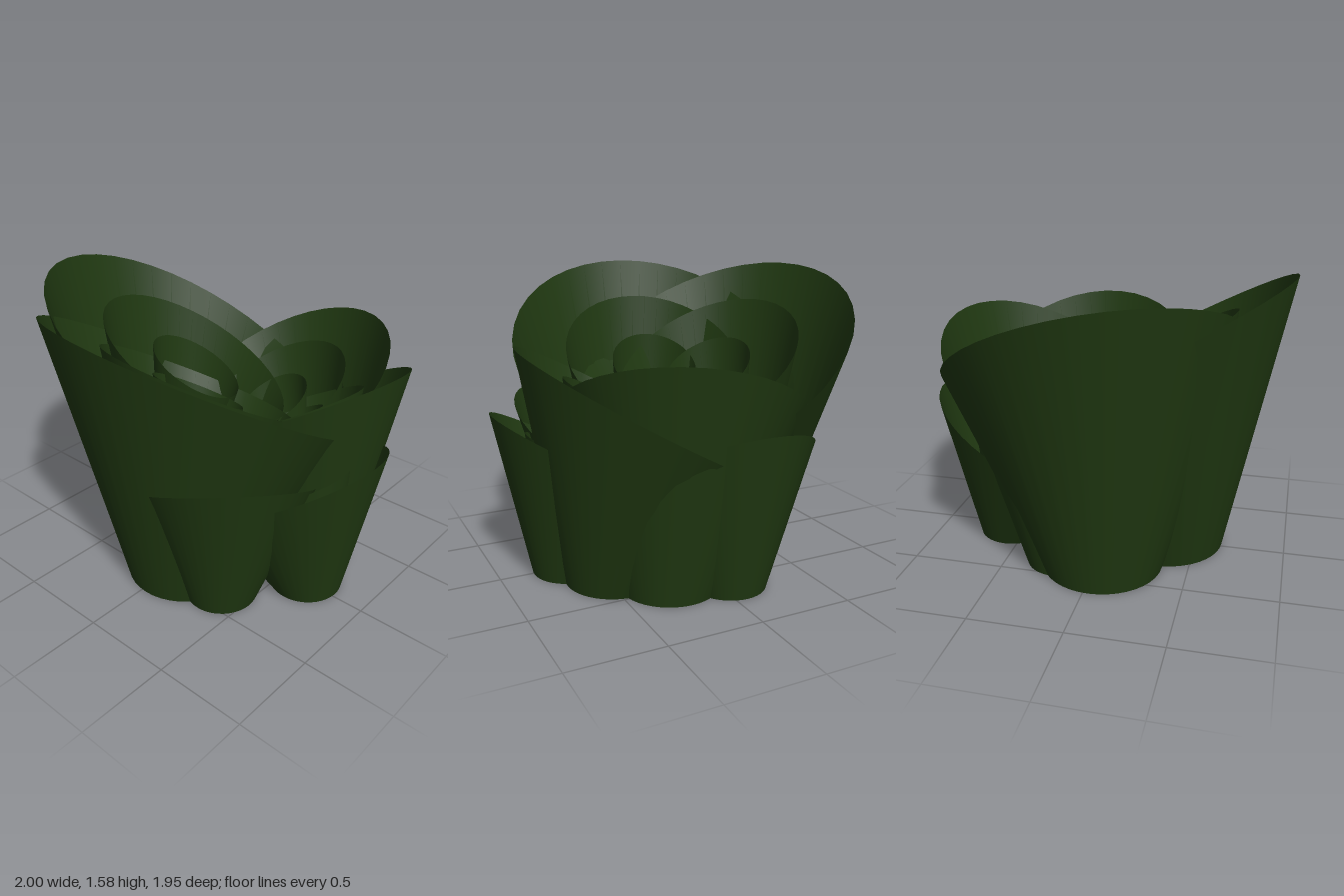
import * as THREE from 'three';
import { toCreasedNormals } from 'three/addons/utils/BufferGeometryUtils.js';

const SIDES = 40;
const SLOPE = 0.57; // steepness of every slanted rim
const TAPER = 0.415; // foot radius as a share of the rim radius
const LAYERS = [1, 0.63, 0.3]; // nested walls of one cup, by size

// Open leaning wall from a round foot at y = 0 to a rim that rises towards lean
function leafWall(foot, top, radius, peak, lean) {
  const length = Math.hypot(...lean);
  const positions = [], index = [];
  for (let i = 0; i < SIDES; i++) {
    const a = (i / SIDES) * Math.PI * 2;
    const c = Math.cos(a) * radius, s = Math.sin(a) * radius;
    const rise = (c * lean[0] + s * lean[1]) / length;
    positions.push(foot[0] + c * TAPER, 0, foot[1] + s * TAPER);
    positions.push(top[0] + c, peak + SLOPE * (rise - radius), top[1] + s);
    const b = i * 2, n = ((i + 1) % SIDES) * 2;
    index.push(b, b + 1, n, n, b + 1, n + 1);
  }
  const g = new THREE.BufferGeometry();
  g.setAttribute('position', new THREE.Float32BufferAttribute(positions, 3));
  g.setIndex(index);
  return toCreasedNormals(g, 0.6);
}

// Three walls nested one inside the other, the inner rims a little lower
function leafCup({ foot, top, radius, peak, lean }, material) {
  const cup = new THREE.Group();
  LAYERS.forEach((size, i) => {
    const wall = new THREE.Mesh(
      leafWall(foot, top, radius * size, peak - 0.25 * radius * i, lean), material);
    wall.name = ['outerLeaf', 'innerLeaf', 'heartLeaf'][i];
    cup.add(wall);
  });
  return cup;
}

export function createModel() {
  const group = new THREE.Group();
  group.name = 'leafRosette';
  const material = new THREE.MeshStandardMaterial({ color: 0x213a12, side: THREE.DoubleSide });

  // Positions are [x, z]
  const cups = {
    // tall cups
    tallLeafRight: { foot: [-0.32, 0.03], top: [-0.21, -0.04], radius: 0.79, peak: 1.58, lean: [-0.87, 0.45] },
    tallLeafFront: { foot: [0.03, 0.32], top: [0.01, 0.18], radius: 0.79, peak: 1.58, lean: [-0.15, 1] },
    // middle cups
    middleLeafLeft: { foot: [0.44, -0.23], top: [0.28, -0.25], radius: 0.64, peak: 1.25, lean: [1, 0.15] },
    middleLeafBack: { foot: [0.22, -0.44], top: [0.1, -0.35], radius: 0.63, peak: 1.25, lean: [0.47, -0.88] },
    // short cups
    shortLeafLeft: { foot: [0.62, -0.02], top: [0.52, 0], radius: 0.48, peak: 0.89, lean: [1, 0] },
    shortLeafBack: { foot: [-0.06, -0.57], top: [-0.06, -0.48], radius: 0.47, peak: 0.89, lean: [0, -1] },
    shortLeafFrontLeft: { foot: [0.33, 0.36], top: [0.31, 0.31], radius: 0.47, peak: 0.89, lean: [0.7, 0.7] },
    shortLeafBackRight: { foot: [-0.34, -0.2], top: [-0.3, -0.22], radius: 0.45, peak: 0.89, lean: [-0.7, -0.7] },
  };
  for (const [name, spec] of Object.entries(cups)) {
    const cup = leafCup(spec, material);
    cup.name = name;
    group.add(cup);
  }
  return group;
}
